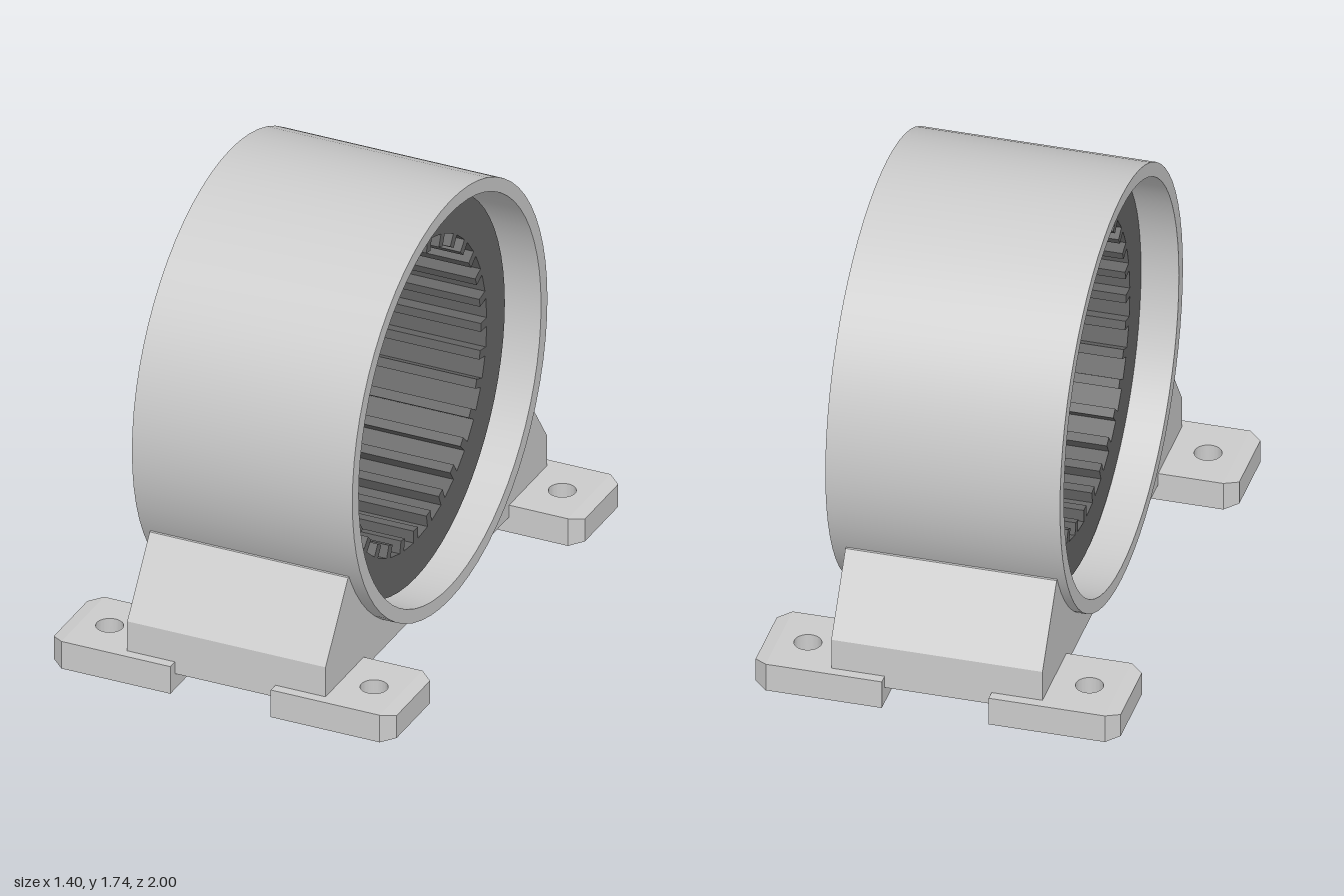
import * as THREE from 'three';
import { toCreasedNormals } from 'three/addons/utils/BufferGeometryUtils.js';

const AXIS_Y = 0.895; // height of the bore axis
const grey = new THREE.MeshStandardMaterial({ color: 0xcccccc });
const dark = new THREE.MeshStandardMaterial({ color: 0x666666 });

function add(parent, name, geometry, material = grey) {
  const mesh = new THREE.Mesh(geometry, material);
  mesh.name = name;
  parent.add(mesh);
  return mesh;
}

// Extrude a (-z, y) outline along x from x0 to x1
function extrudeX(shape, x0, x1, curveSegments = 32) {
  const g = new THREE.ExtrudeGeometry(shape, { depth: x1 - x0, bevelEnabled: false, curveSegments });
  g.rotateY(Math.PI / 2).translate(x0, 0, 0);
  return toCreasedNormals(g, 0.4);
}

function circlePath(Type, r) {
  return new Type().absarc(0, 0, r, 0, Math.PI * 2, false);
}

// Toothed bore outline: narrow rectangular teeth pointing inward
function toothedBore(count, rootR, tipR, halfWidth) {
  const pts = [];
  for (let i = 0; i < count; i++) {
    const a = (i / count) * Math.PI * 2;
    const c = Math.cos(a), s = Math.sin(a);
    for (const [r, w] of [[rootR, -halfWidth], [tipR, -halfWidth], [tipR, halfWidth], [rootR, halfWidth]])
      pts.push(new THREE.Vector2(r * c - w * s, r * s + w * c));
  }
  return new THREE.Path(pts);
}

// Triangular side support whose inner edge follows the housing
function supportShape() {
  const s = new THREE.Shape();
  s.moveTo(0.765, 0.52);
  s.lineTo(0.96, 0.24);
  s.lineTo(0.96, 0.065);
  s.lineTo(0.12, 0.065);
  const a0 = -1.42, a1 = -0.47;
  for (let i = 0; i <= 10; i++) {
    const a = a0 + ((a1 - a0) * i) / 10;
    s.lineTo(0.82 * Math.cos(a), AXIS_Y + 0.82 * Math.sin(a));
  }
  return s;
}

// Mounting foot: drilled plate with a tapered outer end
function makeFoot() {
  const foot = new THREE.Group();
  const h = 0.115, x0 = 0.205, x1 = 0.65, x2 = 0.7, z0 = 0.63, z1 = 1;
  const s = new THREE.Shape();
  s.moveTo(x0, -z1).lineTo(x1, -z1).lineTo(x1, -z0).lineTo(x0, -z0).closePath();
  s.holes.push(new THREE.Path().absarc(0.54, -0.815, 0.052, 0, Math.PI * 2, true));
  const plate = new THREE.ExtrudeGeometry(s, { depth: h, bevelEnabled: false, curveSegments: 24 });
  plate.rotateX(-Math.PI / 2);
  add(foot, 'footPlate', toCreasedNormals(plate, 0.4));

  const end = new THREE.BoxGeometry(x2 - x1, h, z1 - z0);
  const p = end.attributes.position;
  for (let i = 0; i < p.count; i++) {
    if (p.getX(i) > 0) {
      p.setY(i, p.getY(i) - Math.sign(p.getY(i)) * 0.01);
      p.setZ(i, p.getZ(i) - Math.sign(p.getZ(i)) * 0.04);
    }
  }
  end.translate((x1 + x2) / 2, h / 2, (z0 + z1) / 2);
  add(foot, 'footTaperedEnd', toCreasedNormals(end, 0.1));
  return foot;
}

export function createModel() {
  const model = new THREE.Group();
  model.name = 'ringHousing';

  // Outer cylindrical housing
  const ring = circlePath(THREE.Shape, 0.845);
  ring.holes.push(circlePath(THREE.Path, 0.79));
  add(model, 'housingRing', extrudeX(ring, -0.435, 0.465, 32)).position.y = AXIS_Y;

  // Recessed toothed core, slightly off centre in the housing
  const core = circlePath(THREE.Shape, 0.772);
  core.holes.push(toothedBore(32, 0.615, 0.565, 0.018));
  add(model, 'toothedCore', extrudeX(core, -0.29, 0.335, 32), dark).position.set(0, AXIS_Y - 0.002, 0.02);

  // Front and back supports
  const support = extrudeX(supportShape(), -0.4, 0.41);
  add(model, 'backSupport', support);
  const front = add(model, 'frontSupport', support);
  front.rotation.y = Math.PI;
  front.position.x = 0.01;

  // Four mounting feet
  for (const sz of [1, -1]) {
    for (const sx of [1, -1]) {
      const foot = makeFoot();
      foot.name = (sz > 0 ? 'front' : 'back') + (sx > 0 ? 'Left' : 'Right') + 'Foot';
      foot.scale.set(sx, 1, sz);
      model.add(foot);
    }
  }
  return model;
}
